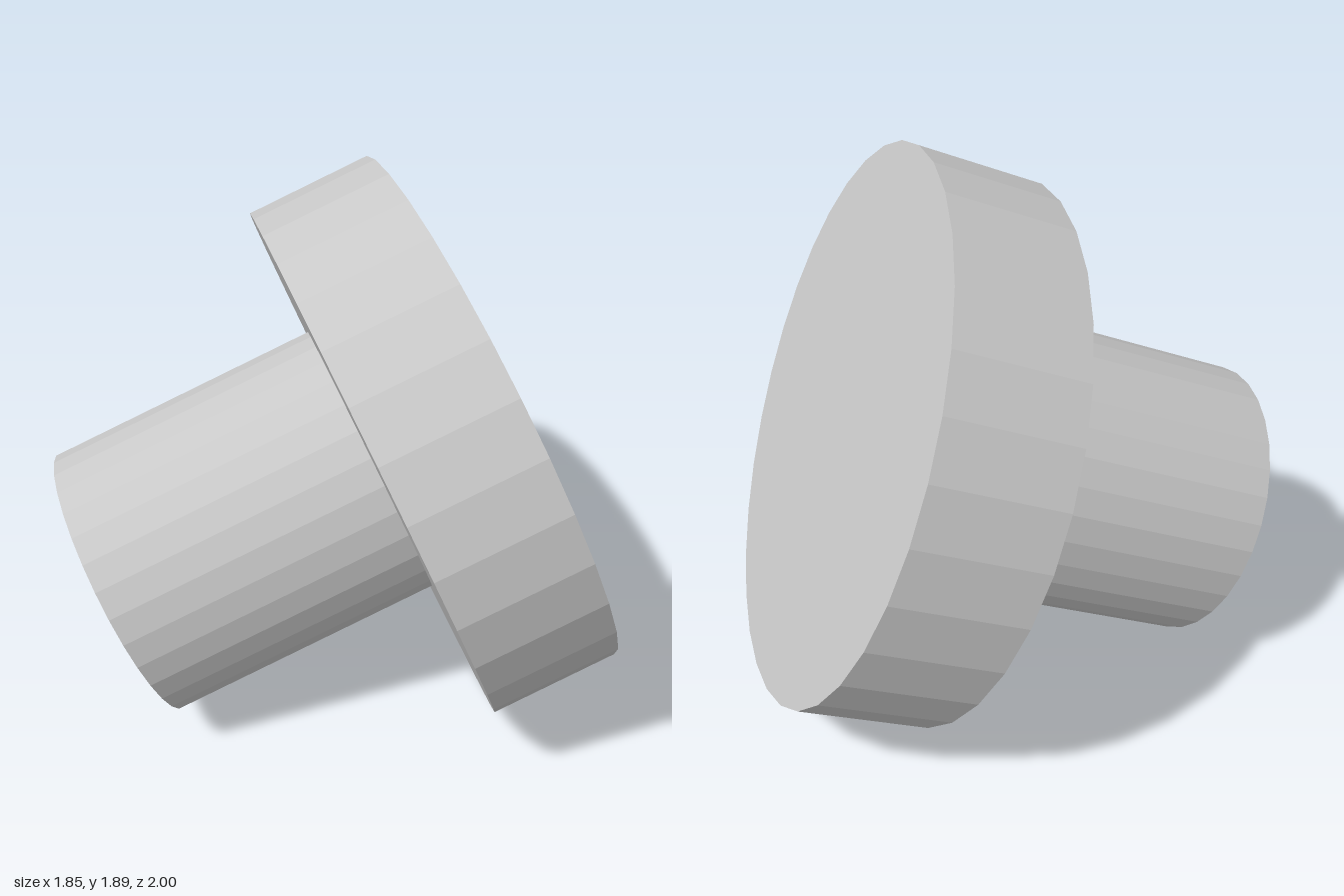
import * as THREE from 'three';

const SIDES = 32;

export function createModel() {
  const grey = new THREE.MeshStandardMaterial({ color: 0xc8c8c8, flatShading: true });
  grey.name = 'light grey';

  // Cylinder lying along x, from x0 to x1
  const rod = (name, radius, x0, x1, squash = 1) => {
    const geometry = new THREE.CylinderGeometry(radius, radius, x1 - x0, SIDES);
    geometry.rotateZ(-Math.PI / 2);
    geometry.scale(1, squash, 1);
    geometry.translate((x0 + x1) / 2, 0, 0);
    const mesh = new THREE.Mesh(geometry, grey);
    mesh.name = name;
    return mesh;
  };

  // Knob built along x with its origin where stem meets head, then tilted
  const knob = new THREE.Group();
  knob.name = 'knob';
  knob.add(rod('head', 0.998, 0, 0.4415, 0.934)); // slightly oval disc
  knob.add(rod('stem', 0.494, -0.968, 0));
  knob.rotation.set(0, -0.013, THREE.MathUtils.degToRad(22.8));
  knob.position.set(0.153, 0.866, -0.003);

  const model = new THREE.Group();
  model.name = 'model';
  model.add(knob);
  return model;
}
